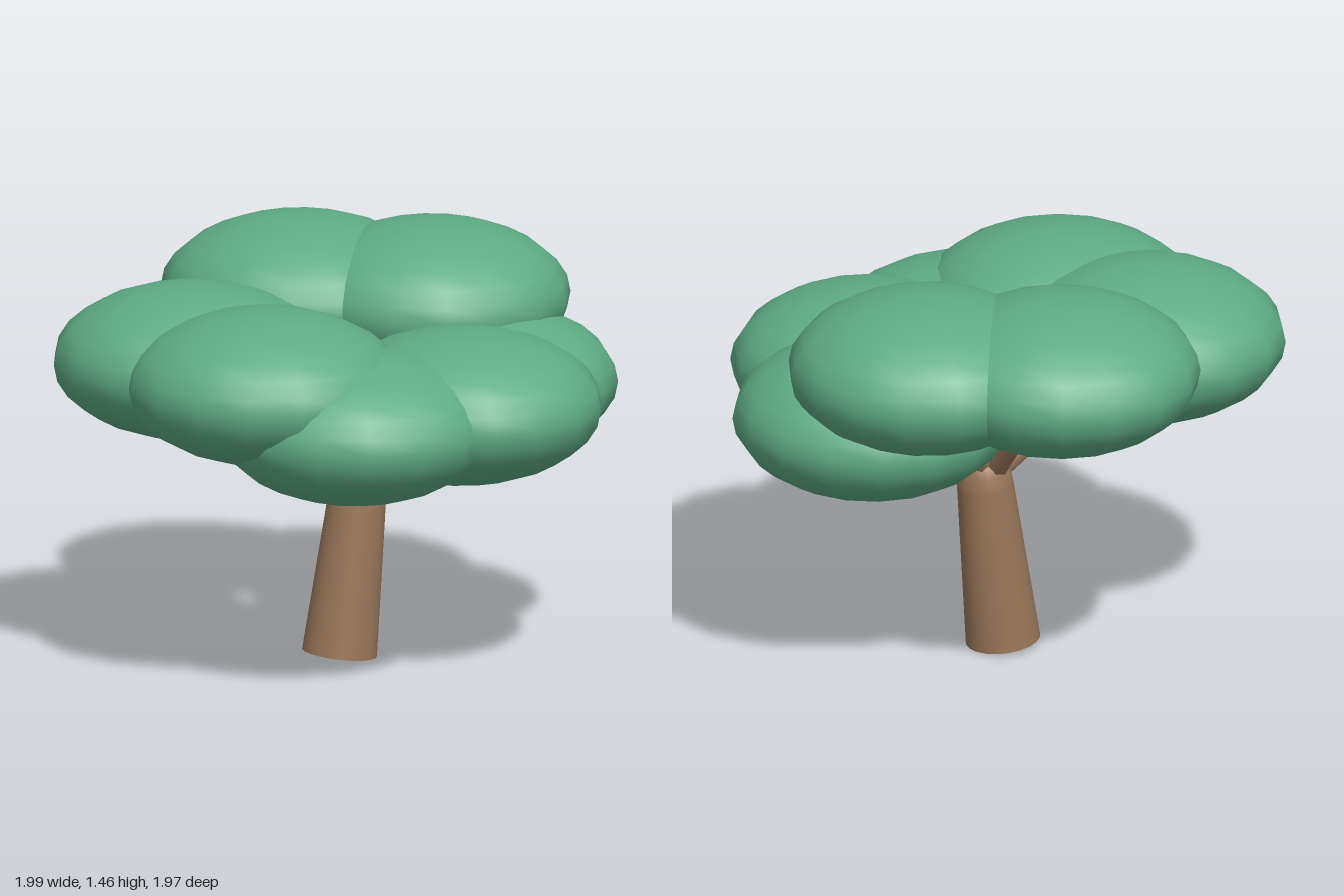
import * as THREE from 'three';

const leafGreen = new THREE.MeshStandardMaterial({ color: 0x5fac86 });
leafGreen.name = 'leafGreen';
const barkBrown = new THREE.MeshStandardMaterial({ color: 0x9a775a });
barkBrown.name = 'barkBrown';

// Centres of the leaf clumps, in a ring around the trunk
const clumps = [
  [0.03, 1.2, -0.5],
  [0.43, 1.2, -0.265],
  [0.51, 0.95, 0.0],
  [0.31, 0.97, 0.405],
  [-0.12, 0.955, 0.5],
  [-0.4, 1.085, 0.35],
  [-0.515, 1.085, -0.09],
].map((p) => new THREE.Vector3(...p));

const UP = new THREE.Vector3(0, 1, 0);

// Tapered branch between two points
function branch(from, to, r0, r1) {
  const dir = to.clone().sub(from);
  const mesh = new THREE.Mesh(new THREE.CylinderGeometry(r1, r0, dir.length(), 7), barkBrown);
  mesh.position.copy(from).addScaledVector(dir, 0.5);
  mesh.quaternion.setFromUnitVectors(UP, dir.normalize());
  return mesh;
}

export function createModel() {
  const tree = new THREE.Group();
  tree.name = 'tree';

  // Leaning trunk: closed base, tapered shaft, rounded shoulder
  const lean = new THREE.Group();
  lean.name = 'trunk';
  const shaft = new THREE.Mesh(new THREE.CylinderGeometry(0.099, 0.131, 0.6, 20), barkBrown);
  shaft.name = 'trunkShaft';
  shaft.position.y = 0.3;
  const profile = [[0.099, 0], [0.093, 0.05], [0.075, 0.095], [0.04, 0.12], [0, 0.125]];
  const shoulder = new THREE.Mesh(
    new THREE.LatheGeometry(profile.map(([x, y]) => new THREE.Vector2(x, y)), 20), barkBrown);
  shoulder.name = 'trunkShoulder';
  shoulder.position.y = 0.6;
  lean.add(shaft, shoulder);
  lean.position.set(-0.005, 0.016, 0.008);
  lean.rotation.z = -0.117;
  tree.add(lean);

  // One flattened clump of leaves per branch
  const fork = new THREE.Vector3(0.05, 0.63, 0.008);
  const leafGeometry = new THREE.SphereGeometry(1, 16, 14);
  clumps.forEach((centre, i) => {
    const leaves = new THREE.Mesh(leafGeometry, leafGreen);
    leaves.name = `leafClump${i + 1}`;
    leaves.position.copy(centre);
    leaves.scale.set(0.488, 0.265, 0.488);
    leaves.rotation.y = Math.atan2(centre.x, centre.z);
    tree.add(leaves);

    const limb = branch(fork, fork.clone().lerp(centre, 0.8), 0.045, 0.032);
    limb.name = `branch${i + 1}`;
    tree.add(limb);
  });

  return tree;
}
